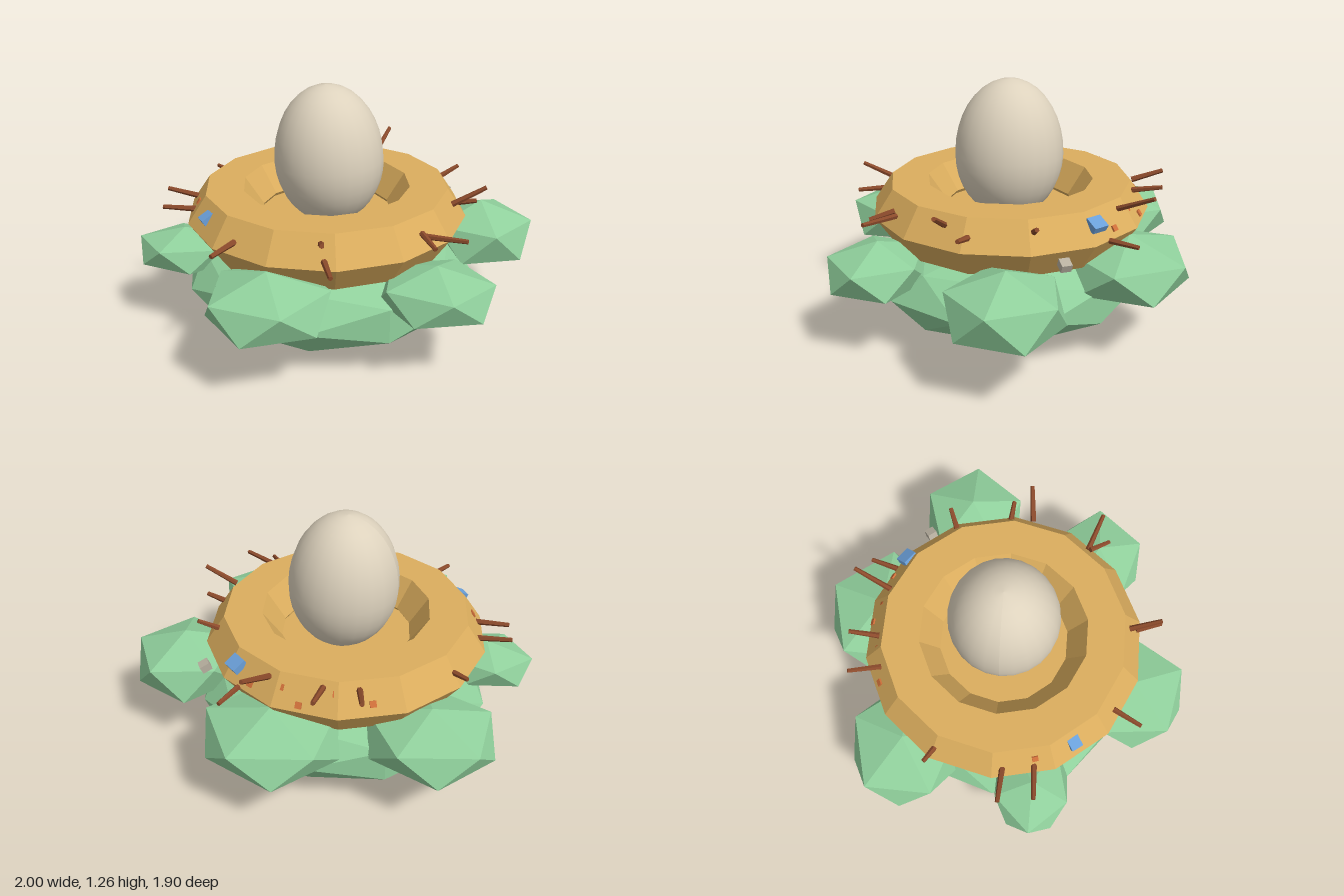
import * as THREE from 'three';

const flat = (name, color) => new THREE.MeshStandardMaterial({ name, color, flatShading: true });

export function createModel() {
  const model = new THREE.Group();
  model.name = 'nestWithEgg';
  const leafGreen = flat('leaf green', 0x90d09c);
  const straw = flat('straw', 0xdcae5e);
  const twigBrown = flat('twig brown', 0x8b4a2b);
  const scrapBlue = flat('scrap blue', 0x6a9fd8);
  const pebbleGrey = flat('pebble grey', 0xb8b0a0);
  const fleckOrange = flat('fleck orange', 0xd0703a);
  const shell = new THREE.MeshStandardMaterial({ name: 'egg shell', color: 0xddd2bd });

  const add = (name, geometry, material, x = 0, y = 0, z = 0) => {
    const mesh = new THREE.Mesh(geometry, material);
    mesh.name = name;
    mesh.position.set(x, y, z);
    model.add(mesh);
    return mesh;
  };

  // Flattened faceted mound of foliage
  add('foliageBase', new THREE.IcosahedronGeometry(1, 1).scale(0.75, 0.285, 0.72), leafGreen, -0.045, 0.285, 0);

  // Leaf clumps: point-up icosahedra, flattened underneath
  const clump = (x, z, rx, rz, top, yaw) => {
    const g = new THREE.IcosahedronGeometry(1, 0);
    g.rotateZ(-Math.atan2(0.5257, 0.8507)).rotateY(yaw);
    g.scale(rx / 0.894, top - 0.42, rz / 0.894).translate(0, 0.42, 0);
    const p = g.attributes.position;
    for (let i = 0; i < p.count; i++) p.setY(i, Math.max(p.getY(i), 0.305));
    add('leafClump', g, leafGreen, x, 0, z);
  };
  clump(0.11, -0.66, 0.33, 0.3, 0.58, 1.24);
  clump(-0.6, -0.46, 0.31, 0.28, 0.58, 2.5);
  clump(-0.76, 0.2, 0.24, 0.19, 0.54, Math.PI);
  clump(-0.22, 0.68, 0.29, 0.28, 0.58, -1.15);
  clump(0.53, 0.47, 0.27, 0.24, 0.56, 0);
  clump(0.73, -0.24, 0.27, 0.27, 0.6, 0);

  // Hexagonal-section nest ring with a floor inside
  const ring = new THREE.TorusGeometry(0.52, 0.19, 6, 14).rotateX(-Math.PI / 2).scale(1, 0.85, 1);
  add('nestRing', ring, straw, -0.06, 0.61, 0);
  add('nestFloor', new THREE.CylinderGeometry(0.4, 0.4, 0.08, 14), straw, -0.06, 0.55, 0);

  // Egg: sphere with a longer upper half
  const eggShape = new THREE.SphereGeometry(0.275, 24, 18);
  const ep = eggShape.attributes.position;
  for (let i = 0; i < ep.count; i++) ep.setY(i, ep.getY(i) * (ep.getY(i) > 0 ? 1.38 : 1.2));
  eggShape.computeVertexNormals();
  add('egg', eggShape, shell, -0.045, 0.88, 0).rotation.z = 0.05;

  // Twigs poking out of the ring: inner end, outer end
  const up = new THREE.Vector3(0, 1, 0);
  const twigs = [
    [-0.29, 0.72, -0.59, -0.34, 0.77, -0.74],
    [-0.13, 0.72, -0.62, -0.13, 0.75, -0.77],
    [0.13, 0.71, -0.6, 0.19, 0.8, -0.78],
    [0.29, 0.61, -0.6, 0.33, 0.61, -0.74],
    [0.51, 0.7, -0.3, 0.6, 0.75, -0.34],
    [0.6, 0.67, -0.02, 0.7, 0.69, -0.01],
    [0.58, 0.71, 0.1, 0.74, 0.8, 0.08],
    [0.46, 0.67, 0.4, 0.66, 0.69, 0.47],
    [0.45, 0.69, 0.41, 0.52, 0.66, 0.51],
    [0.02, 0.71, 0.63, 0.05, 0.775, 0.78],
    [0.04, 0.645, 0.67, 0.09, 0.635, 0.8],
    [-0.39, 0.66, 0.57, -0.46, 0.65, 0.71],
    [-0.69, 0.645, 0.2, -0.86, 0.65, 0.21],
    [-0.71, 0.65, 0.05, -0.89, 0.68, 0.04],
    [-0.65, 0.67, -0.28, -0.73, 0.68, -0.33],
  ];
  for (const [ax, ay, az, bx, by, bz] of twigs) {
    const a = new THREE.Vector3(ax, ay, az), b = new THREE.Vector3(bx, by, bz);
    const dir = b.clone().sub(a);
    const mid = a.clone().add(b).multiplyScalar(0.5);
    const twig = add('twig', new THREE.CylinderGeometry(0.011, 0.015, dir.length(), 6), twigBrown, mid.x, mid.y, mid.z);
    twig.quaternion.setFromUnitVectors(up, dir.normalize());
  }

  // Scraps tucked into the outer slope
  const scrap = (name, material, x, y, z, w, h, d, slope) => {
    const mesh = add(name, new THREE.BoxGeometry(w, h, d), material, x, y, z);
    mesh.rotation.set(slope, Math.atan2(x + 0.06, z), 0, 'YXZ');
  };
  scrap('blueScrap', scrapBlue, -0.57, 0.69, 0.38, 0.06, 0.03, 0.08, 0.5);
  scrap('blueScrap', scrapBlue, 0.32, 0.695, -0.54, 0.08, 0.035, 0.07, 0.5);
  scrap('pebble', pebbleGrey, 0.53, 0.57, -0.45, 0.05, 0.04, 0.05, 0.4);

  // Tiny flecks on the outer slope: angle from the front, height
  for (const [angle, y] of [[3.35, 0.7], [3.1, 0.64], [3.6, 0.66], [2.7, 0.65], [-1.25, 0.69], [2.95, 0.69]]) {
    const r = (0.71 - (y - 0.61) * 0.68) * 0.985;
    scrap('fleck', fleckOrange, -0.06 + r * Math.sin(angle), y, r * Math.cos(angle), 0.03, 0.009, 0.03, 0.97);
  }
  return model;
}
